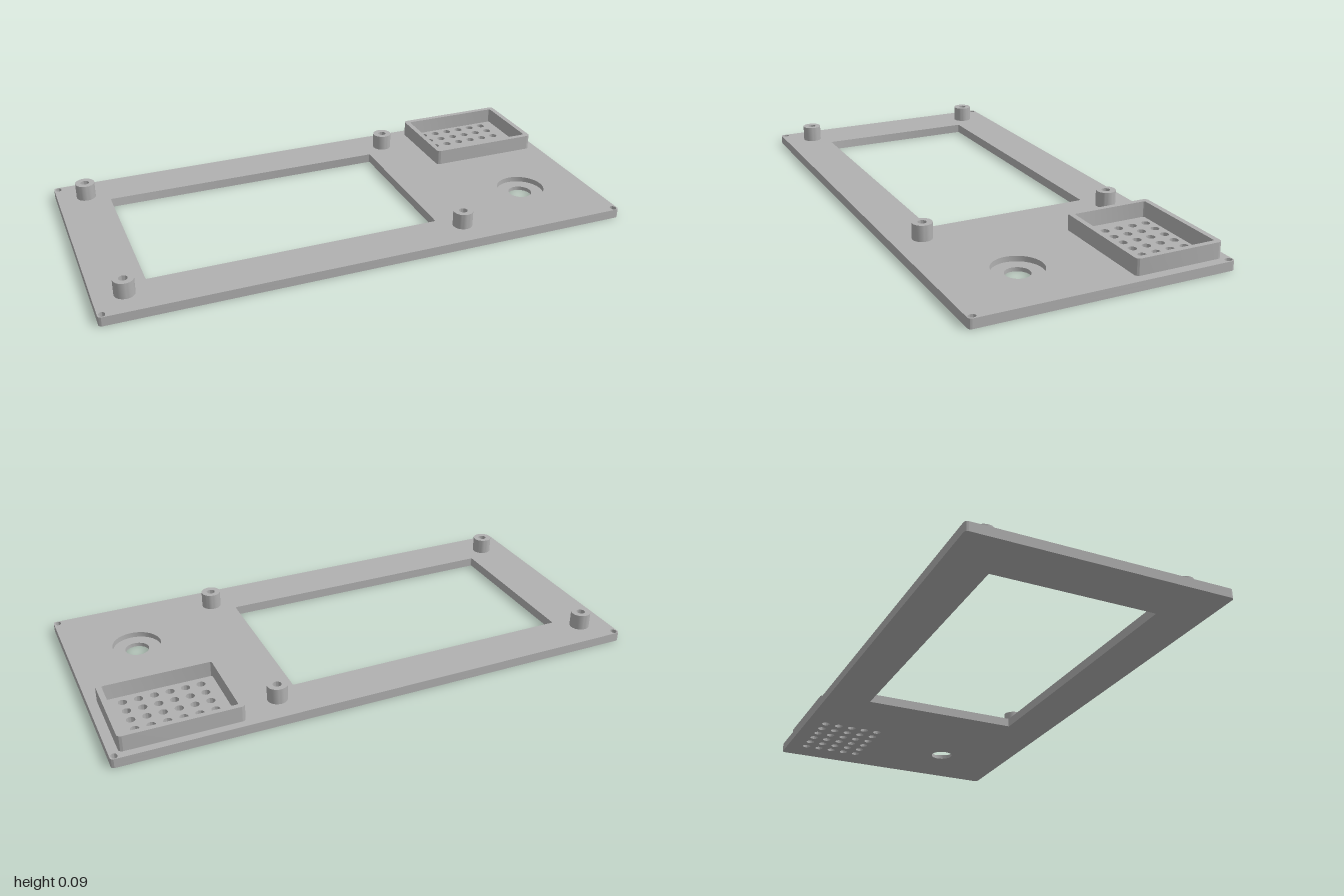
import * as THREE from 'three';
import { toCreasedNormals } from 'three/addons/utils/BufferGeometryUtils.js';

const STEP = 0.015, TOP = 0.035, RIM = 0.095;

// Outlines are drawn in plan: shape x = x, shape y = -z
function roundedRect(x0, x1, z0, z1, r, Type = THREE.Shape) {
  const s = new Type();
  s.absarc(x1 - r, -z0 - r, r, 0, Math.PI / 2);
  s.absarc(x0 + r, -z0 - r, r, Math.PI / 2, Math.PI);
  s.absarc(x0 + r, -z1 + r, r, Math.PI, Math.PI * 1.5);
  s.absarc(x1 - r, -z1 + r, r, Math.PI * 1.5, Math.PI * 2);
  s.closePath();
  return s;
}

function circle(x, z, rx, Type = THREE.Path, rz = rx) {
  const s = new Type();
  s.absellipse(x, -z, rx, rz, 0, Math.PI * 2);
  return s;
}

export function createModel() {
  const group = new THREE.Group();
  const grey = new THREE.MeshStandardMaterial({ color: 0xb0b0b0 });
  grey.name = 'grey plastic';

  // Raise a plan outline with holes from y0 to y1
  function slab(name, outline, holes, y0, y1) {
    outline.holes.push(...holes);
    let geo = new THREE.ExtrudeGeometry(outline, { depth: y1 - y0, bevelEnabled: false, curveSegments: 16 });
    geo.rotateX(-Math.PI / 2);
    geo.translate(0, y0, 0);
    geo = toCreasedNormals(geo, 0.6);
    const mesh = new THREE.Mesh(geo, grey);
    mesh.name = name;
    group.add(mesh);
  }

  const plate = () => roundedRect(-1, 1, -0.485, 0.485, 0.012);
  const windowHole = () => roundedRect(-0.805, 0.3, -0.315, 0.31, 0.004, THREE.Path);

  // Speaker grille: six columns by five rows
  const grille = () => {
    const holes = [];
    for (let i = 0; i < 6; i++)
      for (let j = 0; j < 5; j++) holes.push(circle(0.6 + i * 0.057, -0.405 + j * 0.057, 0.016));
    return holes;
  };

  // Blind screw holes at the plate corners
  const cornerHoles = [];
  for (const x of [-0.984, 0.984])
    for (const z of [-0.468, 0.468]) cornerHoles.push(circle(x, z, 0.011, THREE.Path, 0.014));

  // Panel in two layers, which leaves a counterbore round the button hole
  slab('panelFace', plate(), [windowHole(), circle(0.74, 0.187, 0.045), ...grille()], 0, STEP);
  slab('panelBack', plate(), [windowHole(), circle(0.74, 0.187, 0.092), ...grille(), ...cornerHoles], STEP, TOP);

  // Wall round the speaker
  slab('speakerWall', roundedRect(0.525, 0.965, -0.455, -0.12, 0.015),
    [roundedRect(0.545, 0.945, -0.435, -0.14, 0.008, THREE.Path)], TOP, RIM);

  // Hollow mounting posts round the window
  for (const x of [-0.89, 0.382])
    for (const z of [-0.373, 0.371])
      slab('mountingPost', circle(x, z, 0.037, THREE.Shape), [circle(x, z, 0.016)], TOP, RIM);

  return group;
}
